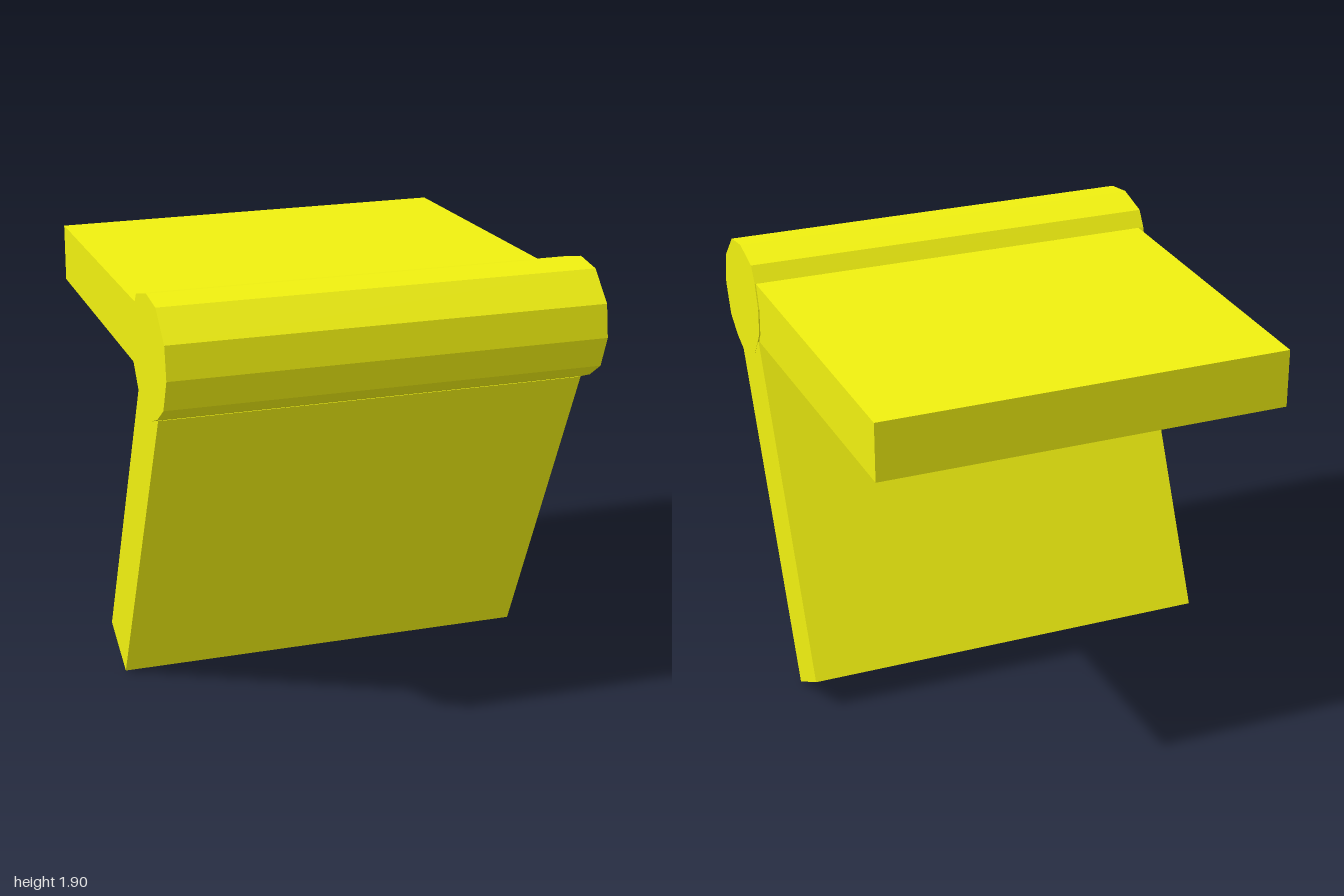
import * as THREE from 'three';

const material = new THREE.MeshStandardMaterial({ color: 0xf0f010, flatShading: true });

// Prism from a [z, y] profile, running across x; rightX and leftX may vary with z.
function prism(name, profile, rightX, leftX, skew = () => 0) {
  const shape = new THREE.Shape(profile.map(([z, y]) => new THREE.Vector2(z, y)));
  const geometry = new THREE.ExtrudeGeometry(shape, { depth: 1, bevelEnabled: false });
  geometry.rotateY(-Math.PI / 2);
  const pos = geometry.attributes.position;
  for (let i = 0; i < pos.count; i++) {
    const t = -pos.getX(i), z = pos.getZ(i);
    pos.setX(i, THREE.MathUtils.lerp(rightX(z), leftX(z), t));
    pos.setZ(i, z + skew(z, t));
  }
  geometry.computeVertexNormals();
  const mesh = new THREE.Mesh(geometry, material);
  mesh.name = name;
  return mesh;
}

export function createModel() {
  const group = new THREE.Group();
  group.name = 'hinge';

  // Faceted barrel along the pivot
  const barrel = [
    [1.0, 1.62], [0.98, 1.76], [0.86, 1.88], [0.72, 1.9], [0.56, 1.86], [0.515, 1.79],
    [0.48, 1.68], [0.485, 1.56], [0.57, 1.44], [0.69, 1.375], [0.76, 1.385], [0.85, 1.42], [0.945, 1.485],
  ];
  group.add(prism('barrel', barrel, () => 0.935, () => -0.94));

  // Level leaf, narrowing a little towards its slightly skewed free edge
  const upper = [[0.52, 1.79], [-1, 1.785], [-1, 1.53], [0.505, 1.52]];
  group.add(prism('upperLeaf', upper,
    (z) => 0.93 + (z - 0.52) * 0.01,
    (z) => -0.915 - (z - 0.52) * 0.02,
    (z, t) => (z < 0 ? 0.013 * t : 0)));

  // Sloping leaf reaching down to the ground
  const lower = [[0.09, 0], [0.765, 1.385], [0.505, 1.52], [-0.15, 0.135]];
  group.add(prism('lowerLeaf', lower, () => 0.934, () => -0.915));

  return group;
}
